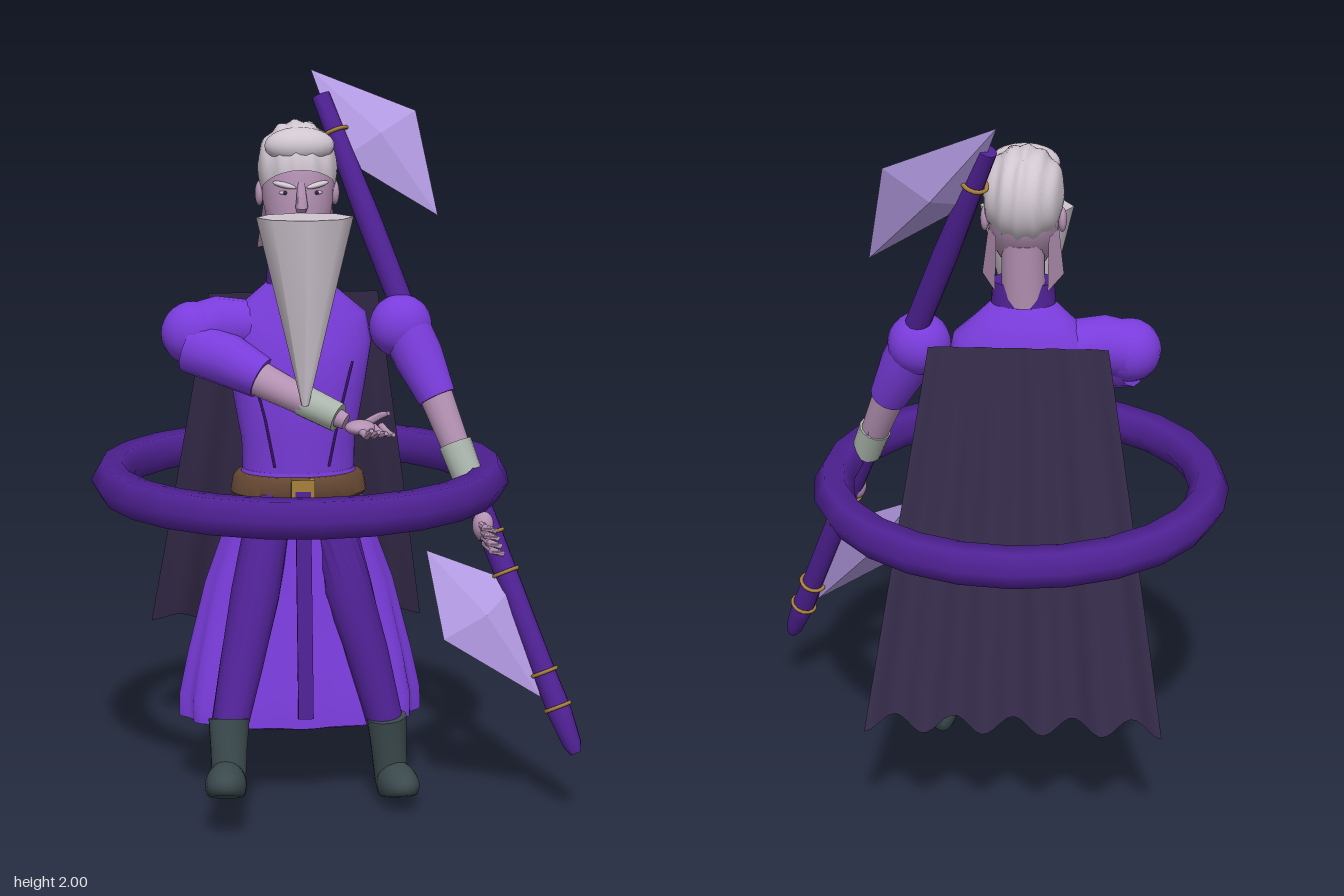
import * as THREE from 'three';
import { toCreasedNormals } from 'three/addons/utils/BufferGeometryUtils.js';

const mat = (name, color, both) => {
  const m = new THREE.MeshStandardMaterial({ color });
  m.name = name;
  if (both) m.side = THREE.DoubleSide;
  return m;
};
const V = (x, y, z) => new THREE.Vector3(x, y, z);
const CX = -0.08; // the body's own centre line

// Closed skin over a list of rings of points, with both ends capped.
function skin(rings) {
  const n = rings[0].length, pos = [], idx = [];
  rings.forEach(r => r.forEach(p => pos.push(p.x, p.y, p.z)));
  for (let i = 0; i < rings.length - 1; i++) for (let j = 0; j < n; j++) {
    const k = (j + 1) % n, a = i * n + j, b = i * n + k;
    idx.push(a, b, a + n, b, b + n, a + n);
  }
  [rings[0], rings[rings.length - 1]].forEach((r, end) => {
    const c = r.reduce((s, p) => s.add(p), V(0, 0, 0)).divideScalar(n);
    const ci = pos.length / 3, o = end ? (rings.length - 1) * n : 0;
    pos.push(c.x, c.y, c.z);
    for (let j = 0; j < n; j++) {
      const k = (j + 1) % n;
      if (end) idx.push(ci, o + j, o + k); else idx.push(ci, o + k, o + j);
    }
  });
  const g = new THREE.BufferGeometry();
  g.setAttribute('position', new THREE.Float32BufferAttribute(pos, 3));
  g.setIndex(idx);
  return toCreasedNormals(g, 0.8);
}

// Upright loft: rows of [y, halfWidth, halfDepth, centreZ], bottom to top.
const loft = (rows, n = 28, ripple = () => 1) => skin(rows.map(([y, rx, rz, cz = 0]) =>
  Array.from({ length: n }, (_, j) => {
    const a = j / n * Math.PI * 2, k = ripple(a, y);
    return V(CX + Math.sin(a) * rx * k, y, cz + Math.cos(a) * rz * k);
  })));

// Round limb through points [x, y, z, radius].
function limb(pts, n = 14) {
  const P = pts.map(p => V(p[0], p[1], p[2]));
  return skin(P.map((p, i) => {
    const t = P[Math.min(i + 1, P.length - 1)].clone().sub(P[Math.max(i - 1, 0)]).normalize();
    const q = new THREE.Quaternion().setFromUnitVectors(V(0, 1, 0), t);
    return Array.from({ length: n }, (_, j) => {
      const a = j / n * Math.PI * 2;
      return V(Math.sin(a), 0, Math.cos(a)).multiplyScalar(pts[i][3]).applyQuaternion(q).add(p);
    });
  }));
}

export function createModel() {
  const g = new THREE.Group();
  const purple = mat('robe purple', 0x7a3cdc), dark = mat('dark purple', 0x4f2194);
  const capeM = mat('cape indigo', 0x352b4a, true), skinM = mat('skin mauve', 0xb592b4, true);
  const hairM = mat('pale hair', 0xd0c6d0), bootM = mat('boot slate', 0x3b4a4d);
  const cuffM = mat('cuff grey', 0xabb5ac), gold = mat('gold', 0xa8803c);
  const brown = mat('belt brown', 0x644632), crystalM = mat('crystal lilac', 0xb39ae2);
  const add = (name, geo, m, parent = g) => {
    const mesh = new THREE.Mesh(geo, m);
    mesh.name = name;
    parent.add(mesh);
    return mesh;
  };
  const blob = (name, m, p, s, parent = g) => {
    const b = add(name, new THREE.SphereGeometry(1, 20, 14), m, parent);
    b.position.set(...p);
    b.scale.set(...s);
    return b;
  };

  // Floating ring around the waist
  const ring = add('floatingRing', new THREE.TorusGeometry(0.525, 0.057, 6, 24), dark);
  ring.rotation.x = Math.PI / 2;
  ring.position.set(-0.075, 0.893, 0);

  // Robe
  add('torso', loft([[0.88, 0.155, 0.105], [1, 0.158, 0.115], [1.15, 0.185, 0.13],
    [1.27, 0.205, 0.122, -0.01], [1.35, 0.19, 0.1, -0.015], [1.4, 0.13, 0.085, -0.01], [1.44, 0.085, 0.07]]), purple);
  add('skirt', loft([[0.2, 0.25, 0.11, 0.04], [0.22, 0.33, 0.165, 0.04], [0.28, 0.33, 0.163, 0.037], [0.4, 0.307, 0.15, 0.027],
    [0.6, 0.26, 0.132, 0.015], [0.8, 0.19, 0.12, 0.005], [0.92, 0.157, 0.108]], 64,
  (a, y) => 1 + 0.05 * (0.92 - y) * Math.cos(12 * a)), purple);
  add('collar', loft([[1.41, 0.09, 0.073], [1.5, 0.084, 0.064, 0.003]]), dark);
  add('belt', loft([[0.845, 0.182, 0.127], [0.855, 0.19, 0.135], [0.9, 0.182, 0.13], [0.91, 0.172, 0.12]]), brown);
  add('buckle', new THREE.BoxGeometry(0.065, 0.075, 0.02), gold).position.set(CX, 0.873, 0.138);
  const sash = add('frontSash', new THREE.BoxGeometry(0.042, 0.63, 0.012), dark);
  sash.position.set(CX, 0.565, 0.18);
  sash.rotation.x = -0.12;
  for (const s of [-1, 1])
    add('lapelSeam', limb([[CX + s * 0.075, 0.94, 0.108, 0.004], [CX + s * 0.1, 1.07, 0.113, 0.004],
      [CX + s * 0.14, 1.23, 0.1, 0.004]], 6), dark);

  // Cape: folded sheet falling back from the shoulders
  const cape = new THREE.PlaneGeometry(2, 1, 48, 10), cp = cape.attributes.position;
  for (let i = 0; i < cp.count; i++) {
    const u = cp.getX(i), t = 0.5 - cp.getY(i), fold = Math.cos(u * Math.PI * 5);
    cp.setXYZ(i, -0.075 + u * (0.24 + 0.165 * t), 1.38 - t * (1.01 - 0.015 * fold),
      -0.2 - 0.17 * t - 0.075 * t * t + fold * (0.003 + 0.022 * t));
  }
  cape.computeVertexNormals();
  add('cape', cape, capeM);

  // Legs and boots
  add('rightLeg', limb([[-0.14, 0.88, 0.05, 0.05], [-0.17, 0.8, 0.09, 0.063], [-0.215, 0.6, 0.17, 0.068],
    [-0.26, 0.42, 0.25, 0.06], [-0.3, 0.27, 0.335, 0.05]]), dark);
  add('leftLeg', limb([[-0.01, 0.88, 0.05, 0.05], [0.005, 0.8, 0.075, 0.06], [0.045, 0.6, 0.125, 0.068],
    [0.095, 0.42, 0.16, 0.06], [0.145, 0.22, 0.195, 0.05]]), dark);
  const boot = (name, top, heel, pitch, yaw) => {
    const b = new THREE.Group();
    b.name = name;
    g.add(b);
    const foot = new THREE.SphereGeometry(1, 20, 14), p = foot.attributes.position;
    for (let i = 0; i < p.count; i++) { // flat sole, narrow heel, low toe
      const z = p.getZ(i);
      p.setXYZ(i, p.getX(i) * (0.055 + 0.009 * z), Math.max(p.getY(i), -0.5) * (0.065 - 0.014 * z) + 0.03, z * 0.115 + 0.1);
    }
    foot.computeVertexNormals();
    const f = add('foot', foot, bootM, b);
    f.position.set(...heel);
    f.rotation.set(pitch, yaw, 0, 'YXZ');
    add('shaft', limb([[heel[0], heel[1] + 0.05, heel[2] + 0.055, 0.046],
      [(heel[0] + top[0]) / 2, (heel[1] + top[1]) / 2 + 0.03, (heel[2] + top[2]) / 2 + 0.025, 0.05],
      [...top, 0.056]]), bootM, b);
  };
  boot('rightBoot', [-0.3, 0.3, 0.34], [-0.305, 0.08, 0.335], -0.32, -0.1);
  boot('leftBoot', [0.145, 0.25, 0.205], [0.16, 0.01, 0.14], -0.22, 0.12);

  // Right arm, bent across the chest with the palm up
  add('rightShoulder', limb([[-0.2, 1.31, -0.01, 0.075], [-0.3, 1.32, -0.005, 0.08], [-0.37, 1.3, 0, 0.08]]), purple);
  blob('rightElbow', purple, [-0.37, 1.3, 0.005], [0.088, 0.088, 0.085]);
  add('rightSleeve', limb([[-0.37, 1.27, 0.02, 0.08], [-0.28, 1.235, 0.065, 0.073], [-0.19, 1.19, 0.11, 0.058]]), purple);
  add('rightForearm', limb([[-0.22, 1.2, 0.1, 0.05], [-0.06, 1.125, 0.17, 0.038], [0.03, 1.085, 0.215, 0.022]]), skinM);
  add('rightCuff', limb([[-0.08, 1.135, 0.155, 0.044], [0.01, 1.095, 0.205, 0.041]]), cuffM);
  const rh = new THREE.Group();
  rh.name = 'rightHand';
  g.add(rh);
  blob('palm', skinM, [0.065, 1.075, 0.245], [0.042, 0.02, 0.045], rh);
  for (let i = 0; i < 4; i++) {
    const x = 0.06 + i * 0.021, z = 0.285 - i * 0.01;
    add('finger', limb([[x, 1.075, z - 0.02, 0.011], [x + 0.015, 1.063, z + 0.025, 0.01],
      [x + 0.024, 1.085 - i * 0.006, z + 0.06, 0.006]], 8), skinM, rh);
  }
  add('thumb', limb([[0.08, 1.08, 0.225, 0.012], [0.12, 1.105, 0.235, 0.01], [0.14, 1.115, 0.26, 0.006]], 8), skinM, rh);

  // Left arm, lowered to hold the staff
  blob('leftShoulder', purple, [0.205, 1.31, 0], [0.088, 0.088, 0.08]);
  add('leftSleeve', limb([[0.205, 1.33, 0, 0.07], [0.25, 1.23, 0.03, 0.07], [0.298, 1.12, 0.075, 0.054]]), purple);
  add('leftForearm', limb([[0.29, 1.14, 0.07, 0.048], [0.345, 0.99, 0.12, 0.04], [0.385, 0.88, 0.16, 0.028],
    [0.41, 0.81, 0.185, 0.024]]), skinM);
  add('leftCuff', limb([[0.343, 1, 0.118, 0.046], [0.373, 0.915, 0.15, 0.043]]), cuffM);
  const lh = new THREE.Group();
  lh.name = 'leftHand';
  g.add(lh);
  blob('palm', skinM, [0.41, 0.785, 0.2], [0.03, 0.042, 0.036], lh);
  for (let i = 0; i < 4; i++) {
    const y = 0.8 - i * 0.02, x = 0.405 + i * 0.006, z = 0.2 + i * 0.006;
    add('finger', limb([[x - 0.01, y, z, 0.011], [x, y - 0.01, z + 0.045, 0.011],
      [x + 0.035, y - 0.02, z + 0.052, 0.008]], 8), skinM, lh);
  }

  // Staff with gold bands
  const staffAt = (y, r) => {
    const t = (1.93 - y) / 1.74;
    return [0.005 + 0.635 * t, y, -0.22 + 0.62 * t, r];
  };
  add('staff', limb([staffAt(1.93, 0.026), staffAt(1.84, 0.028), staffAt(1.6, 0.035), staffAt(0.9, 0.034),
    staffAt(0.42, 0.031), staffAt(0.3, 0.034), staffAt(0.215, 0.026), staffAt(0.19, 0.016)], 12), dark);
  const axis = V(-0.635, 1.74, -0.62).normalize();
  for (const y of [1.83, 0.76, 0.66, 0.4, 0.31]) {
    const band = add('staffBand', new THREE.TorusGeometry(0.035, 0.006, 6, 18), gold);
    band.position.set(...staffAt(y, 0).slice(0, 3));
    band.quaternion.setFromUnitVectors(V(0, 0, 1), axis);
  }

  // Crystal blades: a four-cornered outline with a raised point on each face
  const crystal = (name, pts) => {
    const q = pts.map(p => V(...p)), c = q.reduce((s, p) => s.add(p), V(0, 0, 0)).divideScalar(4);
    const nrm = q[0].clone().sub(q[2]).cross(q[1].clone().sub(q[3])).normalize();
    const out = [];
    for (const s of [-1, 1]) {
      const apex = c.clone().addScaledVector(nrm, s * 0.045);
      for (let i = 0; i < 4; i++) {
        const a = q[i], b = q[(i + 1) % 4];
        out.push(...(s > 0 ? [apex, a, b] : [apex, b, a]));
      }
    }
    const geo = new THREE.BufferGeometry().setFromPoints(out);
    geo.computeVertexNormals();
    add(name, geo, crystalM);
  };
  crystal('upperCrystal', [[-0.02, 2, -0.255], [0.275, 1.885, -0.24], [0.325, 1.6, -0.13], [0.06, 1.76, -0.15]]);
  crystal('lowerCrystal', [[0.25, 0.725, 0.225], [0.5, 0.63, 0.24], [0.55, 0.335, 0.345], [0.285, 0.5, 0.33]]);

  // Head
  add('neck', loft([[1.44, 0.06, 0.055, -0.015], [1.62, 0.058, 0.055, -0.03]], 18), skinM);
  add('head', loft([[1.52, 0.035, 0.03, 0.075], [1.54, 0.06, 0.055, 0.055], [1.59, 0.082, 0.088, 0.022],
    [1.66, 0.096, 0.106, 0.002], [1.74, 0.1, 0.11, -0.005], [1.8, 0.09, 0.095, -0.01], [1.84, 0.05, 0.06, -0.02]], 24), skinM);
  add('nose', limb([[CX, 1.72, 0.098, 0.01], [CX, 1.68, 0.115, 0.014], [CX, 1.655, 0.118, 0.017], [CX, 1.64, 0.105, 0.012]], 8), skinM);
  const hair = new THREE.SphereGeometry(1, 48, 20, 0, Math.PI * 2, 0, Math.PI * 0.66), hp = hair.attributes.position;
  for (let i = 0; i < hp.count; i++) { // swept-back locks
    const k = 1 + 0.03 * Math.cos(hp.getX(i) * 16 + hp.getZ(i) * 2);
    hp.setXYZ(i, hp.getX(i) * k * 0.112, hp.getY(i) * k * 0.13, hp.getZ(i) * k * 0.13);
  }
  hair.rotateX(-0.55);
  hair.computeVertexNormals();
  add('hair', hair, hairM).position.set(CX, 1.748, -0.012);
  blob('forelock', hairM, [CX, 1.815, 0.055], [0.095, 0.05, 0.058]);
  for (const s of [-1, 1]) {
    blob('ear', skinM, [CX + s * 0.104, 1.68, -0.02], [0.012, 0.034, 0.022]);
    blob('eye', hairM, [CX + s * 0.042, 1.692, 0.089], [0.017, 0.006, 0.008]);
    blob('pupil', capeM, [CX + s * 0.042, 1.692, 0.094], [0.006, 0.006, 0.005]);
    const brow = blob('eyebrow', hairM, [CX + s * 0.045, 1.713, 0.094], [0.034, 0.008, 0.012]);
    brow.rotation.set(0, s * 0.4, s * 0.2);
    // Loose flap hanging behind each ear
    const flap = new THREE.BufferGeometry().setFromPoints([
      V(CX + s * 0.095, 1.65, -0.01), V(CX + s * 0.07, 1.65, -0.085), V(CX + s * 0.11, 1.53, -0.03), V(CX + s * 0.07, 1.52, -0.145)]);
    flap.setIndex(s > 0 ? [0, 2, 1, 1, 2, 3] : [0, 1, 2, 1, 3, 2]);
    flap.computeVertexNormals();
    add('neckFlap', flap, skinM);
  }
  const beard = add('beard', new THREE.CylinderGeometry(1, 0.07, 0.51, 8), hairM);
  beard.scale.set(0.13, 1, 0.095);
  beard.position.set(CX, 1.385, 0.21);
  return g;
}
